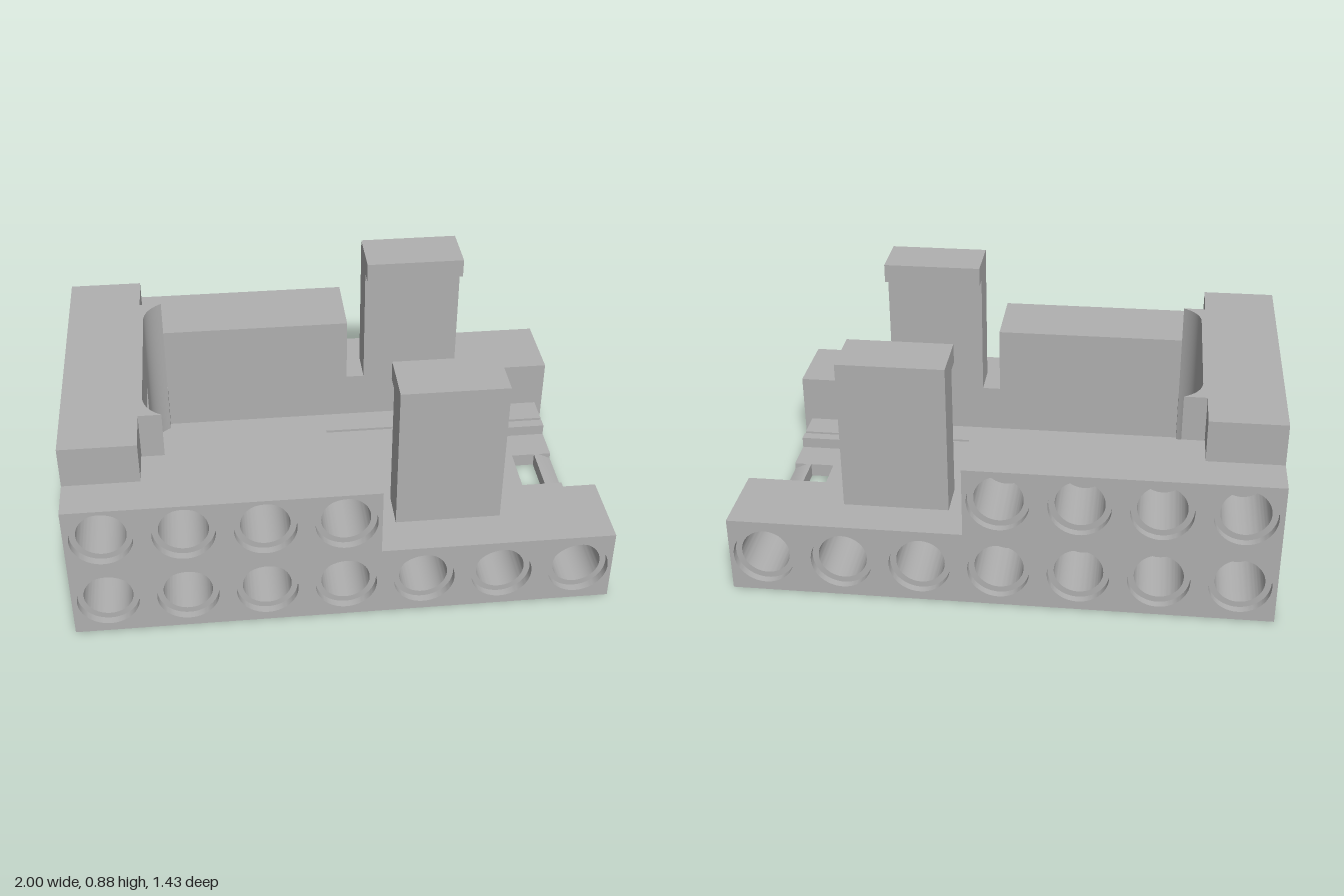
import * as THREE from 'three';
import { toCreasedNormals } from 'three/addons/utils/BufferGeometryUtils.js';

const grey = new THREE.MeshStandardMaterial({ color: 0xb0b0b0 });
grey.name = 'grey plastic';

const WALL_IN = 0.415, WALL_OUT = 0.715; // side wall faces in z
const LOW = 0.295, HIGH = 0.565, TOP = 0.725, FLOOR = 0.1;

function add(parent, name, geometry) {
  const mesh = new THREE.Mesh(geometry, grey);
  mesh.name = name;
  parent.add(mesh);
  return mesh;
}

// Box given by its limits on each axis
function block(parent, name, x0, x1, y0, y1, za, zb) {
  const g = new THREE.BoxGeometry(x1 - x0, y1 - y0, Math.abs(zb - za));
  g.translate((x0 + x1) / 2, (y0 + y1) / 2, (za + zb) / 2);
  return add(parent, name, g);
}

// Front outline extruded between two z values
function slab(parent, name, shape, za, zb) {
  const g = new THREE.ExtrudeGeometry(shape, {
    depth: Math.abs(zb - za), bevelEnabled: false, curveSegments: 40,
  });
  g.translate(0, 0, Math.min(za, zb));
  return add(parent, name, toCreasedNormals(g, 0.5));
}

// Stepped side outline with round holes of a given radius
function wallShape(radius) {
  const shape = new THREE.Shape([
    [-1, 0], [1, 0], [1, LOW], [0.13, LOW], [0.13, HIGH], [-1, HIGH],
  ].map(([x, y]) => new THREE.Vector2(x, y)));
  if (radius) {
    [[0.147, 7], [0.437, 4]].forEach(([y, count]) => {
      for (let i = 0; i < count; i++) {
        const hole = new THREE.Path();
        hole.absarc(-0.868 + i * 0.29, y, radius, 0, Math.PI * 2, true);
        shape.holes.push(hole);
      }
    });
  }
  return shape;
}

function sideWall(s) {
  const g = new THREE.Group();
  g.name = s > 0 ? 'frontSideWall' : 'rearSideWall';
  slab(g, 'holeRims', wallShape(0.113), s * 0.685, s * WALL_OUT);
  slab(g, 'holeBores', wallShape(0.09), s * 0.435, s * 0.685);
  slab(g, 'innerSkin', wallShape(0), s * WALL_IN, s * 0.435);
  return g;
}

function latch(s) {
  const g = new THREE.Group();
  g.name = s > 0 ? 'frontLatch' : 'rearLatch';
  const shape = new THREE.Shape([
    [0.56, LOW], [0.56, 0.875], [0.352, 0.875], [0.352, 0.8], [WALL_IN, 0.8], [WALL_IN, LOW],
  ].map(([z, y]) => new THREE.Vector2(-s * z, y)));
  const hook = new THREE.ExtrudeGeometry(shape, { depth: 0.393, bevelEnabled: false });
  hook.rotateY(Math.PI / 2).translate(0.203, 0, 0);
  add(g, 'hookedPost', hook);
  return g;
}

function endWall() {
  const g = new THREE.Group();
  g.name = 'endWall';
  const win = 0.112;
  for (const s of [1, -1]) {
    // Half of the wall in plan, with a rounded inner corner
    const p = new THREE.Shape();
    p.moveTo(-1, s * win);
    p.lineTo(-0.705, s * win);
    p.lineTo(-0.705, s * 0.275);
    p.quadraticCurveTo(-0.7, s * 0.345, -0.635, s * 0.385);
    p.lineTo(-0.72, s * 0.385);
    p.lineTo(-0.72, s * WALL_IN);
    p.lineTo(-1, s * WALL_IN);
    p.closePath();
    const geo = new THREE.ExtrudeGeometry(p, { depth: TOP, bevelEnabled: false, curveSegments: 12 });
    geo.rotateX(-Math.PI / 2);
    add(g, 'roundedHalf', toCreasedNormals(geo, 0.4));
    block(g, 'topShoulder', -1, -0.72, HIGH, TOP, s * WALL_IN, s * 0.56);
    block(g, 'cornerTab', -0.72, -0.635, 0, LOW, s * 0.385, s * WALL_IN);
  }
  block(g, 'windowSill', -1, -0.705, 0, 0.365, -win, win);
  block(g, 'windowLintel', -1, -0.705, 0.51, TOP, -win, win);
  return g;
}

function floor() {
  const g = new THREE.Group();
  g.name = 'floor';
  const end = 0.97, slot = 0.03, edge = 0.283, recess = 0.24, dip = 0.055, hole = 0.1;
  block(g, 'floorPlate', -0.72, slot, 0, FLOOR, -WALL_IN, WALL_IN);
  block(g, 'springTongue', slot, 0.74, 0, FLOOR, -edge, edge);
  block(g, 'recessFloor', 0.74, 0.805, 0, dip, -recess, recess);
  for (const s of [1, -1]) {
    block(g, 'floorStrip', slot, end, 0, FLOOR, s * 0.297, s * WALL_IN);
    block(g, 'recessRim', 0.74, end, 0, FLOOR, s * recess, s * edge);
    block(g, 'recessSide', 0.805, end, 0, dip, s * hole, s * recess);
  }
  // Sloping lip beyond the rectangular opening
  const lip = new THREE.Shape([
    [0.9, 0], [end, 0], [end, 0.03], [0.92, dip], [0.9, dip],
  ].map(([x, y]) => new THREE.Vector2(x, y)));
  slab(g, 'slopedLip', lip, -hole, hole);
  return g;
}

export function createModel() {
  const model = new THREE.Group();
  model.name = 'perforatedCradle';
  for (const s of [1, -1]) model.add(sideWall(s), latch(s));
  model.add(endWall(), floor());
  return model;
}
